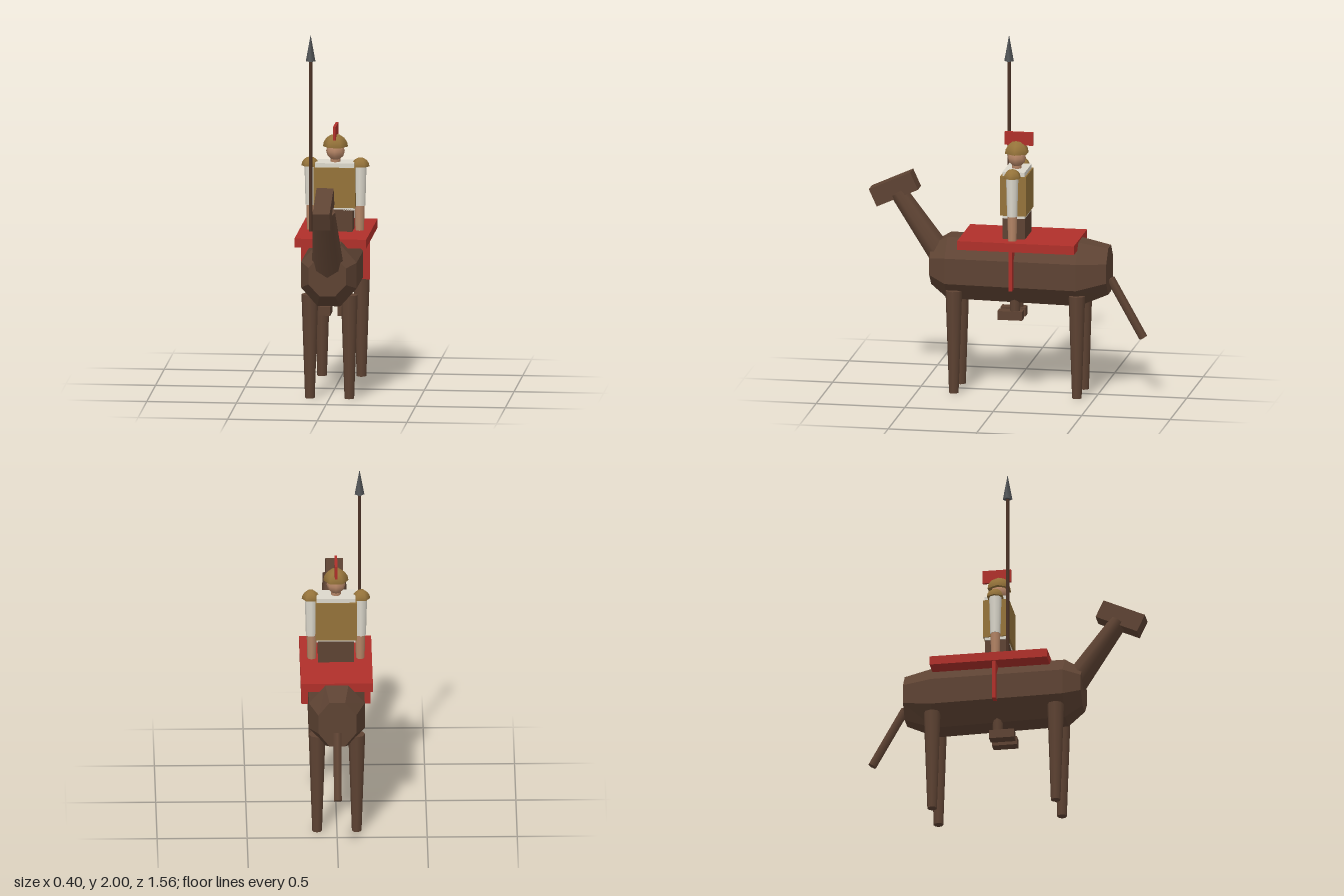
import * as THREE from 'three';

const mat = (name, color) => {
  const m = new THREE.MeshStandardMaterial({ color });
  m.name = name;
  return m;
};

export function createModel() {
  const brown = mat('horse brown', 0x5e4333);
  const red = mat('cloth red', 0xb0302a);
  const brass = mat('brass', 0x95733a);
  const white = mat('linen white', 0xdcd8cc);
  const skin = mat('skin', 0xb58566);
  const wood = mat('spear wood', 0x4e3427);
  const steel = mat('spear steel', 0x55585a);

  const model = new THREE.Group();
  model.name = 'riderOnHorse';

  const add = (name, geo, material, x, y, z) => {
    const mesh = new THREE.Mesh(geo, material);
    mesh.name = name;
    mesh.position.set(x, y, z);
    model.add(mesh);
    return mesh;
  };
  const box = (name, material, w, h, d, x, y, z) =>
    add(name, new THREE.BoxGeometry(w, h, d), material, x, y, z);
  const post = (name, material, rTop, rBottom, y0, y1, x, z, sides = 8) =>
    add(name, new THREE.CylinderGeometry(rTop, rBottom, y1 - y0, sides), material, x, (y0 + y1) / 2, z);
  // Six-sided half dome, closed below
  const dome = (name, r, x, y, z) => {
    const top = new THREE.SphereGeometry(r, 6, 4, 0, Math.PI * 2, 0, Math.PI / 2);
    add(name, top, brass, x, y, z);
    const base = new THREE.CircleGeometry(r, 6).rotateX(Math.PI / 2);
    add(name + 'Base', base, brass, x, y, z);
  };
  // Tapered limb in the x = 0 plane from a lower point to an upper point, [y, z]
  const limb = (name, rTop, rBottom, low, high, sides, flatten = 1) => {
    const dy = high[0] - low[0], dz = high[1] - low[1];
    const geo = new THREE.CylinderGeometry(rTop, rBottom, Math.hypot(dy, dz), sides);
    geo.scale(1, 1, flatten);
    const mesh = add(name, geo, brown, 0, (low[0] + high[0]) / 2, (low[1] + high[1]) / 2);
    mesh.rotation.x = Math.atan2(dz, dy);
  };

  // Horse body: an eight-sided barrel shaped by rings of z, centre y, half width, half height
  const rings = [
    [-0.565, 0.715, 0.105, 0.132],
    [-0.4, 0.697, 0.155, 0.182],
    [0.34, 0.702, 0.155, 0.175],
    [0.435, 0.712, 0.105, 0.113],
  ];
  let barrel = new THREE.CylinderGeometry(1, 1, 3, 8, 3, false, Math.PI / 8).rotateX(Math.PI / 2);
  const p = barrel.attributes.position;
  const k = 1 / Math.cos(Math.PI / 8);
  for (let i = 0; i < p.count; i++) {
    const [z, cy, hw, hh] = rings[Math.round(p.getZ(i) + 1.5)];
    p.setXYZ(i, p.getX(i) * hw * k, cy + p.getY(i) * hh * k, z);
  }
  barrel = barrel.toNonIndexed();
  barrel.computeVertexNormals();
  add('horseBody', barrel, brown, 0, 0, 0);

  // Horse neck, head, tail and legs
  limb('horseNeck', 0.063, 0.09, [0.735, 0.37], [1.11, 0.63], 8, 0.8);
  box('horseHead', brown, 0.095, 0.107, 0.256, 0, 1.13, 0.648).rotation.x = 0.427;
  limb('horseTail', 0.025, 0.025, [0.335, -0.755], [0.665, -0.57], 6);
  for (const x of [-0.11, 0.11])
    for (const z of [-0.4, 0.295]) post('horseLeg', brown, 0.047, 0.027, 0, 0.585, x, z);

  // Saddle cloth and girth strap
  box('saddleCloth', red, 0.4, 0.05, 0.66, 0, 0.865, -0.07);
  box('girthStrap', red, 0.385, 0.235, 0.02, 0, 0.732, -0.04);

  // Rider trunk
  box('hips', brown, 0.2, 0.13, 0.125, 0, 0.95, -0.042);
  box('tunic', white, 0.216, 0.265, 0.125, 0, 1.142, -0.042);
  box('breastplate', brass, 0.23, 0.225, 0.145, 0, 1.138, -0.04);

  // Rider limbs
  for (const s of [-1, 1]) {
    post('riderLeg', brown, 0.045, 0.028, 0.46, 0.95, s * 0.05, -0.04);
    box('riderFoot', brown, 0.06, 0.05, 0.14, s * 0.05, 0.445, -0.015);
    post('sleeve', white, 0.035, 0.029, 1.03, 1.25, s * 0.138, -0.04);
    post('forearm', skin, 0.028, 0.024, 0.885, 1.04, s * 0.135, -0.04);
    dome('shoulderGuard', 0.05, s * 0.14, 1.25, -0.04);
  }

  // Rider head and helmet
  post('riderNeck', skin, 0.027, 0.027, 1.26, 1.31, 0, -0.04);
  add('riderHead', new THREE.SphereGeometry(0.052, 8, 6), skin, 0, 1.335, -0.04);
  dome('helmet', 0.07, 0, 1.36, -0.04);
  box('helmetCrest', red, 0.015, 0.075, 0.16, 0, 1.443, -0.053);

  // Spear
  post('spearShaft', wood, 0.01, 0.01, 0.88, 1.855, -0.132, 0.028, 6);
  add('spearTip', new THREE.ConeGeometry(0.027, 0.15, 4), steel, -0.132, 1.925, 0.028);

  return model;
}
